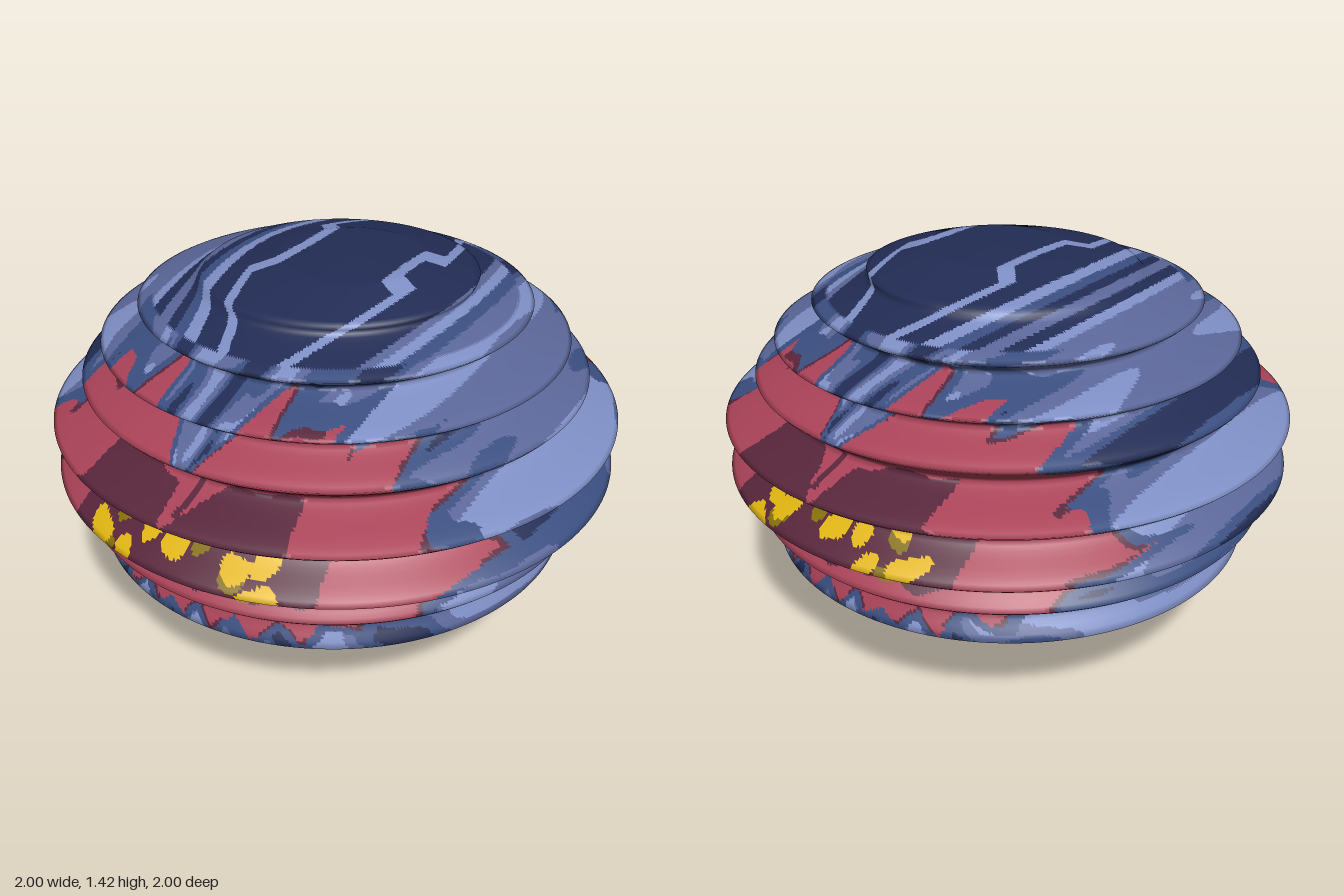
import * as THREE from 'three';

// Pleated lantern outline, top to bottom: radius, height, sideways shift of the ring
const PROFILE = [
  [0, 1.42, 0.06], [0.25, 1.415, 0.06], [0.47, 1.36, 0.02], [0.48, 1.335, 0], [0.675, 1.27, 0], [0.6, 1.215, 0],
  [0.81, 1.15, 0], [0.735, 1.1, 0], [0.885, 1.03, 0], [0.805, 0.955, 0], [1, 0.88, 0],
  [0.87, 0.795, 0], [1, 0.7, 0], [0.88, 0.63, 0], [0.925, 0.57, -0.01], [0.825, 0.5, 0],
  [0.865, 0.415, -0.01], [0.71, 0.385, -0.01], [0.72, 0.335, -0.02], [0.62, 0.3, -0.02],
  [0.61, 0.235, -0.04], [0.46, 0.17, 0], [0.45, 0.12, 0.015], [0.39, 0.092, 0.02],
  [0.06, 0.025, 0.07], [0.03, 0.005, 0.07], [0, 0, 0.07],
];
// Right halves of the painted flower, mirrored across x
const PETALS = [
  [0.02, 1], [0.1, 1.1], [0.22, 1.24], [0.26, 1.15], [0.42, 1.18], [0.44, 1.08], [0.6, 1.13],
  [0.58, 1.02], [0.72, 1], [0.67, 0.92], [0.82, 0.86], [0.72, 0.8], [0.85, 0.75], [0.73, 0.7],
  [0.82, 0.64], [0.67, 0.61], [0.68, 0.53], [0.54, 0.54], [0.5, 0.46], [0.38, 0.5],
  [0.34, 0.42], [0.25, 0.48], [0.2, 0.42], [0.12, 0.47], [0.06, 0.42], [0, 0.48],
];
const HEART = [
  [0, 0.87], [0.05, 0.93], [0.15, 0.965], [0.35, 0.955], [0.39, 0.88], [0.46, 0.87], [0.44, 0.79],
  [0.48, 0.7], [0.42, 0.62], [0.3, 0.6], [0.15, 0.62], [0, 0.6],
];
// Stamen spots: x, y, half width, half height
const GOLD_SPOTS = [
  [-0.31, 0.725, 0.062, 0.028], [-0.24, 0.79, 0.032, 0.022], [-0.18, 0.71, 0.035, 0.025],
  [-0.13, 0.775, 0.032, 0.025], [-0.09, 0.825, 0.04, 0.024], [-0.035, 0.765, 0.048, 0.034],
  [0.045, 0.865, 0.03, 0.018], [0.15, 0.815, 0.04, 0.026], [0.2, 0.755, 0.055, 0.025],
  [0.29, 0.765, 0.042, 0.032], [-0.12, 0.675, 0.042, 0.028], [0.27, 0.69, 0.055, 0.028],
  [0.32, 0.705, 0.045, 0.022],
];
const OLIVE_SPOTS = [
  [-0.21, 0.635, 0.05, 0.032], [-0.01, 0.645, 0.065, 0.025], [0.17, 0.63, 0.075, 0.026],
  [0.28, 0.66, 0.05, 0.025], [0.35, 0.67, 0.035, 0.025], [-0.13, 0.655, 0.045, 0.025],
  [0.06, 0.78, 0.035, 0.02], [-0.08, 0.805, 0.04, 0.02], [-0.24, 0.77, 0.032, 0.02],
  [0.04, 0.85, 0.035, 0.02], [0.15, 0.795, 0.045, 0.02], [-0.27, 0.705, 0.05, 0.02],
  [0.2, 0.735, 0.045, 0.02],
];
// Stripes on the lid, outward from its middle: outer edge, colour
const LID_RIGHT = [[0.17, 'navy'], [0.21, 'pale'], [0.38, 'navy'], [0.42, 'slate'], [0.47, 'pale'],
  [0.53, 'blue'], [2, 'slate']];
const LID_LEFT = [[0.17, 'navy'], [0.21, 'pale'], [0.3, 'navy'], [0.36, 'pale'], [0.41, 'blue'],
  [0.46, 'navy'], [0.52, 'slate'], [0.58, 'navy'], [0.63, 'pale'], [2, 'slate']];

const mirrored = (half) => [...half, ...half.map(([x, y]) => [-x, y]).reverse()];
const FLOWER = mirrored(PETALS);
const CENTRE = mirrored(HEART);

function inside(poly, x, y) {
  let hit = false;
  for (let i = 0, j = poly.length - 1; i < poly.length; j = i++) {
    const [ax, ay] = poly[i], [bx, by] = poly[j];
    if ((ay > y) !== (by > y) && x < ((bx - ax) * (y - ay)) / (by - ay) + ax) hit = !hit;
  }
  return hit;
}
const onSpot = (spots, x, y) =>
  spots.some(([cx, cy, w, h]) => ((x - cx) / w) ** 2 + ((y - cy) / h) ** 2 < 1);

// Painted pattern, the same on front and back
function paintAt(x, y) {
  if (y < 0.008) return 'red';
  const wx = x + 0.012 * Math.sin(31 * y + 9 * x), wy = y + 0.008 * Math.sin(37 * x);
  if (onSpot(GOLD_SPOTS, wx, wy)) return 'gold';
  if (onSpot(OLIVE_SPOTS, wx, wy)) return 'olive';
  if (inside(CENTRE, wx, wy)) return 'maroon';
  if (inside(FLOWER, wx, wy)) {
    if (y > 0.9 && Math.abs(x - 0.02) < 0.012) return 'maroon';
    const rim = !inside(FLOWER, wx * 1.025, 0.8 + (wy - 0.8) * 1.035);
    return rim && Math.sin(23 * x + 17 * y) > -0.2 ? 'maroon' : 'red';
  }
  if (y < 0.1) return 'navy';
  // wavy stripes across the lid
  if (y > 1.29) {
    const bulge = y > 1.395 ? (1.418 - y) * 3 : 0.07 - (1.395 - y) * 1.5;
    const d = Math.abs(x - 0.08) - bulge;
    return (x > 0.08 ? LID_RIGHT : LID_LEFT).find(([edge]) => d < edge)[1];
  }
  // blue halo, then broad feathered streaks fanning out around the flower
  if (inside(FLOWER, wx * 0.95, 0.8 + (wy - 0.8) * 0.92)) return 'blue';
  const a = Math.atan2(y - 0.8, x - 0.03), r = Math.hypot(x, (y - 0.8) * 1.5);
  const streak = Math.sin(13 * a + 5 * r + 1) + 0.7 * Math.sin(22 * a - 9 * r)
    + 0.5 * Math.sin(7 * a + 17 * r + 2) + 0.25 * Math.sin(37 * r + 15 * a);
  const v = streak + 0.9 * Math.max(0, Math.abs(x) - 0.4) - (y < 0.25 ? 0.4 : 0);
  if (v < -0.9) return 'navy';
  if (v < -0.2) return 'blue';
  if (v < 0.75) return 'slate';
  return 'pale';
}

// Rings with softly rounded ridges and valleys
function makeRings() {
  const rings = [];
  for (let k = 0; k < PROFILE.length - 1; k++) {
    const [r0, y0, c0] = PROFILE[k], [r1, y1, c1] = PROFILE[k + 1];
    const n = Math.max(2, Math.ceil(Math.hypot(r1 - r0, y1 - y0) / 0.024));
    const ease = k > 2 && k < 23 ? 0.5 : 0;
    for (let i = 0; i < n; i++) {
      const t = i / n;
      const s = t + ease * (t * t * (3 - 2 * t) - t);
      rings.push([r0 + (r1 - r0) * s, y0 + (y1 - y0) * t, c0 + (c1 - c0) * t]);
    }
  }
  rings.push(PROFILE[PROFILE.length - 1]);
  return rings;
}

// One smooth shell of rings
function makeShell(sides) {
  const rings = makeRings();
  const positions = [], index = [];
  for (const [r, y, c] of rings) {
    for (let j = 0; j < sides; j++) {
      const a = (j / sides) * Math.PI * 2;
      positions.push(c + r * Math.cos(a), y, r * Math.sin(a));
    }
  }
  for (let i = 0; i < rings.length - 1; i++) {
    for (let j = 0; j < sides; j++) {
      const a = i * sides + j, b = i * sides + ((j + 1) % sides), c = a + sides, d = b + sides;
      if (i > 0) index.push(a, b, c);
      if (i < rings.length - 2) index.push(b, d, c);
    }
  }
  const shell = new THREE.BufferGeometry();
  shell.setAttribute('position', new THREE.Float32BufferAttribute(positions, 3));
  shell.setIndex(index);
  shell.computeVertexNormals();
  return shell;
}

export function createModel() {
  const group = new THREE.Group();
  group.name = 'paperLantern';
  const paints = {
    navy: ['darkStreaks', 0x222c54], blue: ['blueStreaks', 0x3a4e80],
    slate: ['slateStreaks', 0x5b6799], pale: ['paleStreaks', 0x7f8fc5],
    red: ['flowerPetals', 0xaa4258], maroon: ['flowerCentre', 0x58253b],
    gold: ['stamenTips', 0xe0b510], olive: ['stamenShades', 0x857008],
  };
  const shell = makeShell(240);
  const pos = Array.from(shell.getAttribute('position').array);
  const nor = Array.from(shell.getAttribute('normal').array);
  const faces = {};
  for (const key in paints) faces[key] = [];

  const colourAt = (...ids) => {
    let x = 0, y = 0;
    for (const id of ids) { x += pos[id * 3] / ids.length; y += pos[id * 3 + 1] / ids.length; }
    return paintAt(x, y);
  };
  const addFace = (...ids) => faces[colourAt(...ids)].push(...ids);
  const midpoint = (a, b) => {
    for (const list of [pos, nor]) {
      for (let k = 0; k < 3; k++) list.push((list[a * 3 + k] + list[b * 3 + k]) / 2);
    }
    return pos.length / 3 - 1;
  };

  // Faces crossed by a paint edge are quartered for a finer outline
  const index = shell.getIndex().array;
  for (let i = 0; i < index.length; i += 3) {
    const [a, b, c] = index.slice(i, i + 3);
    const colour = colourAt(a, b, c);
    if ([a, b, c].every((id) => colourAt(id) === colour)) {
      faces[colour].push(a, b, c);
    } else {
      const ab = midpoint(a, b), bc = midpoint(b, c), ca = midpoint(c, a);
      addFace(a, ab, ca);
      addFace(ab, b, bc);
      addFace(ca, bc, c);
      addFace(ab, bc, ca);
    }
  }

  const position = new THREE.Float32BufferAttribute(pos, 3);
  const normal = new THREE.Float32BufferAttribute(nor, 3);
  for (const [key, [name, color]] of Object.entries(paints)) {
    const geometry = new THREE.BufferGeometry();
    geometry.setAttribute('position', position);
    geometry.setAttribute('normal', normal);
    geometry.setIndex(faces[key]);
    const material = new THREE.MeshStandardMaterial({ color });
    material.name = key;
    const mesh = new THREE.Mesh(geometry, material);
    mesh.name = name;
    group.add(mesh);
  }
  return group;
}
